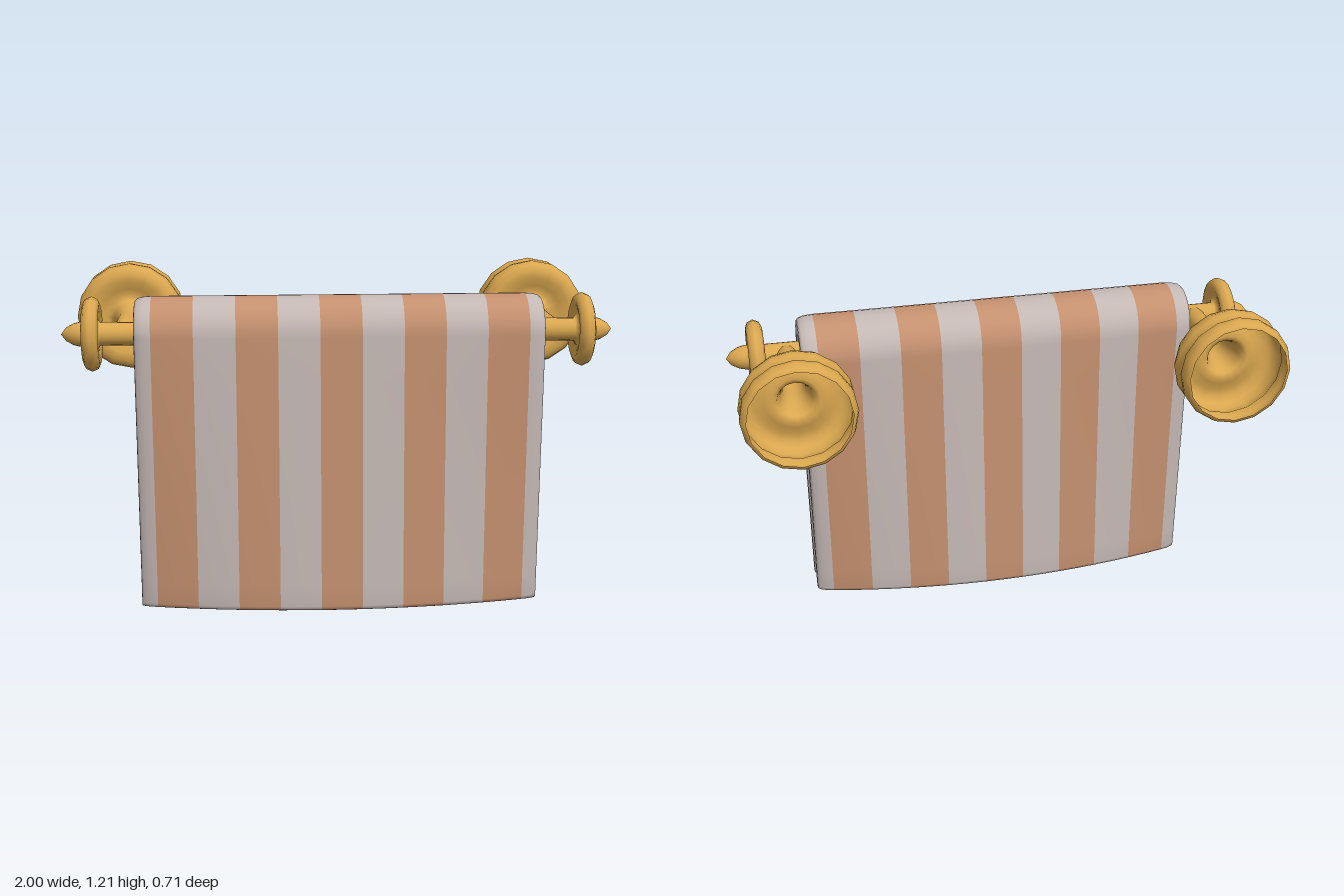
import * as THREE from 'three';

const BAR_Y = 1.01, BAR_Z = 0.17;
const brass = new THREE.MeshStandardMaterial({ color: 0xdba850, side: THREE.DoubleSide });
const cream = new THREE.MeshStandardMaterial({ color: 0xc4b8b4 });
const tan = new THREE.MeshStandardMaterial({ color: 0xc4906f });

function lathe(name, profile, sides) {
  const pts = profile.map(([r, h]) => new THREE.Vector2(r, h));
  const mesh = new THREE.Mesh(new THREE.LatheGeometry(pts, sides), brass);
  mesh.name = name;
  return mesh;
}

// Rail with a rounded collar and pointed tip at each end
function createRail() {
  const half = [
    [0.042, 0.6], [0.042, 0.86], [0.06, 0.872], [0.085, 0.866], [0.105, 0.86], [0.125, 0.868],
    [0.135, 0.89], [0.125, 0.912], [0.105, 0.92], [0.085, 0.914], [0.06, 0.908], [0.045, 0.912],
    [0.045, 0.93], [0.039, 0.955], [0.024, 0.982], [0, 1],
  ];
  const other = half.map(([r, h]) => [r, -h]).reverse();
  const rail = lathe('rail', [...other, ...half], 18);
  rail.geometry.rotateZ(-Math.PI / 2);
  rail.position.set(0, BAR_Y, BAR_Z);
  return rail;
}

// Hollow wall cup with a double bead, flaring into the post
function createBracket(x) {
  const bracket = lathe(x > 0 ? 'leftBracket' : 'rightBracket', [
    [0.182, -0.355], [0.195, -0.35], [0.203, -0.325], [0.201, -0.3], [0.19, -0.28],
    [0.201, -0.262], [0.203, -0.235], [0.192, -0.205], [0.17, -0.19], [0.14, -0.19],
    [0.11, -0.203], [0.085, -0.21], [0.067, -0.203], [0.058, -0.18], [0.049, -0.15],
    [0.042, -0.115], [0.04, -0.08], [0.04, 0.17], [0, 0.17],
  ], 16);
  bracket.geometry.rotateX(Math.PI / 2);
  bracket.position.set(x, BAR_Y, 0);
  return bracket;
}

// Cross-section stations over the rail: z and y from the rail, normal, thickness scale
function towelPath() {
  const hang = [[0.002, 0.55], [0.007, 0.83], [0.022, 1], [0.1, 1], [0.25, 1], [0.45, 1], [0.65, 1], [0.85, 1]];
  const front = hang.map(([y, t]) => ({ side: 1, y, dz: 0.09, nz: 1, ny: 0, t }));
  const arc = [];
  for (let i = 0; i <= 14; i++) {
    const a = (i / 14) * Math.PI, c = Math.cos(a), s = Math.sin(a);
    arc.push({ side: Math.sign(c), y: BAR_Y + 0.09 * s, dz: 0.09 * c, nz: c, ny: s, t: 1 });
  }
  const back = front.map(p => ({ ...p, side: -1, dz: -0.09, nz: -1 })).reverse();
  return [...front, ...arc, ...back];
}

function createTowel() {
  // Columns: stripe edges, stripe middles and a rounded selvedge
  const right = [[0, 1]];
  for (let k = 1; k <= 9; k++) right.push([k * 0.075, 1]);
  right.push([0.705, 0.95], [0.725, 0.82], [0.733, 0.65], [0.735, 0.45]);
  const columns = [...right.slice(1).reverse().map(([x, t]) => [-x, t]), ...right];

  const path = towelPath(), n = path.length, loop = 2 * n;
  const positions = [];
  for (const [x, edge] of columns) {
    const bow = 0.05 - 0.085 * (x / 0.735) ** 2;
    const point = (p, sign) => {
      const h = 0.045 * edge * p.t * sign;
      const drop = Math.max(0, 1 - p.y / BAR_Y);
      positions.push(x, p.y + p.ny * h, BAR_Z + p.dz + p.nz * h + p.side * bow * drop);
    };
    path.forEach(p => point(p, 1));
    [...path].reverse().forEach(p => point(p, -1));
  }

  const stripes = { cream: [], tan: [] };
  const quad = (list, a, b, c, d) => list.push(a, b, c, a, c, d);
  for (let i = 0; i < columns.length - 1; i++) {
    const middle = Math.abs(columns[i][0] + columns[i + 1][0]) / 2;
    const list = middle < 0.675 && Math.floor((middle + 0.075) / 0.15) % 2 === 0 ? stripes.tan : stripes.cream;
    for (let j = 0; j < loop; j++) {
      const k = (j + 1) % loop;
      quad(list, i * loop + j, (i + 1) * loop + j, (i + 1) * loop + k, i * loop + k);
    }
  }
  // Close both side edges
  const last = (columns.length - 1) * loop;
  for (let j = 0; j < n - 1; j++) {
    const inner = loop - 1 - j;
    quad(stripes.cream, last + j, last + inner, last + inner - 1, last + j + 1);
    quad(stripes.cream, j, j + 1, inner - 1, inner);
  }

  // Shared normals keep the cloth smooth across colour changes
  const whole = new THREE.BufferGeometry();
  whole.setAttribute('position', new THREE.Float32BufferAttribute(positions, 3));
  whole.setIndex([...stripes.cream, ...stripes.tan]);
  whole.computeVertexNormals();

  const towel = new THREE.Group();
  towel.name = 'towel';
  for (const [name, index, material] of [['creamStripes', stripes.cream, cream], ['tanStripes', stripes.tan, tan]]) {
    const geometry = whole.clone();
    geometry.setIndex(index);
    const mesh = new THREE.Mesh(geometry, material);
    mesh.name = name;
    towel.add(mesh);
  }
  return towel;
}

export function createModel() {
  const model = new THREE.Group();
  model.name = 'towelRail';
  model.add(createRail(), createBracket(0.78), createBracket(-0.78), createTowel());
  return model;
}
